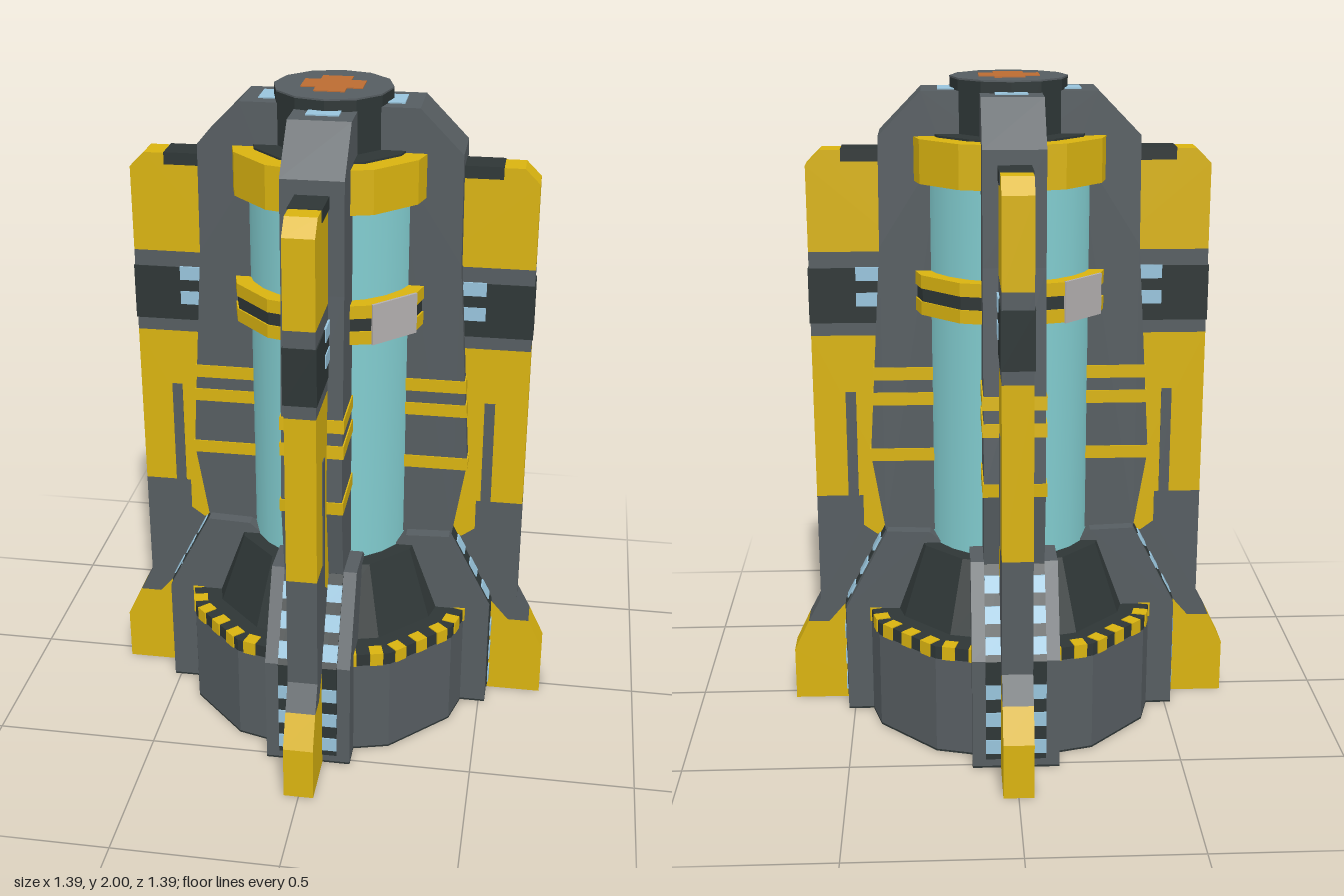
import * as THREE from 'three';
import { toCreasedNormals } from 'three/addons/utils/BufferGeometryUtils.js';

const material = (name, color) => {
  const m = new THREE.MeshStandardMaterial({ color });
  m.name = name;
  return m;
};

export function createModel() {
  const model = new THREE.Group();
  model.name = 'reactorTower';

  const grey = material('steelGrey', 0x565d61);
  const dark = material('darkMetal', 0x2e3636);
  const yellow = material('hazardYellow', 0xd9b310);
  const teal = material('tealGlass', 0x82cdd0);
  const blue = material('paleBlue', 0x98c4dc);
  const orange = material('burntOrange', 0xbb6c32);
  const pale = material('paleGrey', 0xb4b0b0);

  const add = (parent, name, geometry, mat) => {
    const mesh = new THREE.Mesh(geometry, mat);
    mesh.name = name;
    parent.add(mesh);
    return mesh;
  };
  // Vertical prism or cone between two heights
  const drum = (name, rTop, rBottom, y0, y1, mat, sides = 12) => {
    const g = toCreasedNormals(new THREE.CylinderGeometry(rTop, rBottom, y1 - y0, sides), 0.3);
    return add(model, name, g.translate(0, (y0 + y1) / 2, 0), mat);
  };
  // Radial profile (r, y) extruded sideways from z0 to z1
  const slab = (parent, name, points, z0, z1, mat) => {
    const shape = new THREE.Shape(points.map(([x, y]) => new THREE.Vector2(x, y)));
    const g = new THREE.ExtrudeGeometry(shape, { depth: z1 - z0, bevelEnabled: false });
    return add(parent, name, g.translate(0, 0, z0), mat);
  };
  const box = (parent, name, size, pos, mat) =>
    add(parent, name, new THREE.BoxGeometry(...size).translate(...pos), mat);
  const lerp = THREE.MathUtils.lerp;

  // Base, cone and glass core
  drum('basePlate', 0.475, 0.475, 0, 0.006, dark);
  drum('base', 0.475, 0.475, 0.006, 0.31, grey);
  drum('baseRim', 0.475, 0.475, 0.31, 0.35, dark);
  drum('cone', 0.305, 0.385, 0.35, 0.57, dark);
  drum('glassCore', 0.255, 0.255, 0.57, 1.7, teal, 24);
  drum('upperCollar', 0.307, 0.307, 1.7, 1.83, yellow);
  drum('collarInset', 0.245, 0.245, 1.83, 1.836, dark);
  drum('middleBandLower', 0.307, 0.307, 1.31, 1.35, yellow);
  drum('middleBandCentre', 0.302, 0.302, 1.35, 1.39, dark);
  drum('middleBandUpper', 0.307, 0.307, 1.39, 1.43, yellow);

  // Top cap
  drum('cap', 0.175, 0.175, 1.8, 1.992, dark);
  drum('capLid', 0.175, 0.175, 1.992, 1.997, grey);
  box(model, 'capMark', [0.18, 0.004, 0.09], [0, 1.998, 0], orange);
  box(model, 'capMark', [0.09, 0.004, 0.18], [0, 1.998, 0], orange);

  // Hazard blocks along the base rim, three per side
  for (let side = 0; side < 12; side++) {
    const edge = new THREE.Group();
    edge.name = 'rimBlocks';
    edge.rotation.y = (side + 0.5) * Math.PI / 6;
    for (const i of [-1, 0, 1]) {
      box(edge, 'rimBlock', [0.04, 0.043, 0.045], [i * 0.082, 0.3315, 0.441], yellow);
    }
    model.add(edge);
  }

  // Pale plates on two opposite corners of the middle band
  for (const a of [Math.PI / 4, Math.PI * 5 / 4]) {
    const plate = box(model, 'bandPlate', [0.162, 0.124, 0.008], [0, 1.37, 0.297], pale);
    plate.rotation.y = a;
  }

  // Outer radius of the arm and of its buttress at a height
  const armR = y => y > 0.85 ? lerp(0.43, 0.39, (y - 0.85) / 0.65) : lerp(0.39, 0.43, (y - 0.61) / 0.24);
  const buttressR = y => y < 0.35 ? 0.52 : lerp(0.52, 0.385, (y - 0.35) / 0.26);
  // Strip lying on a surface between two heights
  const skin = (radius, y0, y1, out, depth) => [
    [radius(y0) - depth, y0], [radius(y0) + out, y0],
    [radius(y1) + out, y1], [radius(y1) - depth, y1],
  ];

  for (let k = 0; k < 4; k++) {
    const quarter = new THREE.Group();
    quarter.name = 'supportQuarter';
    quarter.rotation.y = k * Math.PI / 2;
    model.add(quarter);

    // Arm with wrapped yellow stripes
    slab(quarter, 'arm', [[0.1, 1.96], [0.26, 1.96], [0.387, 1.83], [0.39, 1.5],
      [0.43, 0.85], [0.39, 0.6], [0.2, 0.6], [0.2, 1.8], [0.1, 1.84]], -0.09, 0.09, grey);
    for (const [y0, y1] of [[1.09, 1.13], [1.01, 1.05], [0.83, 0.87]]) {
      slab(quarter, 'armStripe', skin(armR, y0, y1, 0.004, 0.2), -0.094, 0.094, yellow);
    }
    box(quarter, 'armLight', [0.05, 0.006, 0.094], [0.187, 1.961, 0], blue);

    // Buttress with lit strips beside the fin
    slab(quarter, 'buttress', [[0.2, 0.006], [0.52, 0.006], [0.52, 0.35], [0.385, 0.61],
      [0.25, 0.605], [0.2, 0.56]], -0.13, 0.13, grey);
    box(quarter, 'buttressSole', [0.32, 0.006, 0.26], [0.36, 0.003, 0], dark);
    for (const s of [-1, 1]) {
      const z0 = s > 0 ? 0.045 : -0.09, z1 = z0 + 0.045;
      slab(quarter, 'lightStrip', skin(buttressR, 0.03, 0.35, 0.004, 0.01), z0, z1, dark);
      slab(quarter, 'lightStrip', skin(buttressR, 0.35, 0.605, 0.004, 0.01), z0, z1, dark);
      for (const y of [0.05, 0.14, 0.23, 0.37, 0.45, 0.53]) {
        slab(quarter, 'stripLight', skin(buttressR, y, y + 0.045, 0.008, 0.01), z0, z1, blue);
      }
    }

    // Fin, divided into coloured sections
    const w = 0.045;
    slab(quarter, 'finTop', [[0.3, 1.48], [0.605, 1.48], [0.605, 1.74], [0.56, 1.785], [0.3, 1.785]], -w, w, yellow);
    slab(quarter, 'finCollar', [[0.3, 1.22], [0.605, 1.22], [0.605, 1.48], [0.3, 1.48]], -w, w, grey);
    slab(quarter, 'finBand', [[0.3, 1.26], [0.608, 1.26], [0.608, 1.43], [0.3, 1.43]], -w - 0.003, w + 0.003, dark);
    slab(quarter, 'finMiddle', [[0.3, 1.22], [0.605, 1.22], [0.605, 0.7], [0.46, 0.7], [0.46, 0.6],
      [0.42, 0.57], [0.3, 0.57]], -w, w, yellow);
    slab(quarter, 'finLower', [[0.3, 0.57], [0.42, 0.57], [0.46, 0.6], [0.46, 0.7], [0.605, 0.7], [0.605, 0.35],
      [0.647, 0.27], [0.58, 0.27], [0.52, 0.34], [0.3, 0.34]], -w, w, grey);
    slab(quarter, 'finFoot', [[0.4, 0], [0.695, 0], [0.695, 0.17], [0.647, 0.27], [0.58, 0.27],
      [0.52, 0.34], [0.4, 0.34]], -w, w, yellow);
    box(quarter, 'finTopPad', [0.12, 0.037, 0.096], [0.44, 1.7695, 0], dark);
    box(quarter, 'finSlot', [0.032, 0.34, 0.096], [0.49, 0.87, 0], grey);
    for (const y of [1.333, 1.412]) {
      box(quarter, 'finLight', [0.07, 0.042, 0.102], [0.43, y, 0], blue);
    }
  }
  return model;
}
